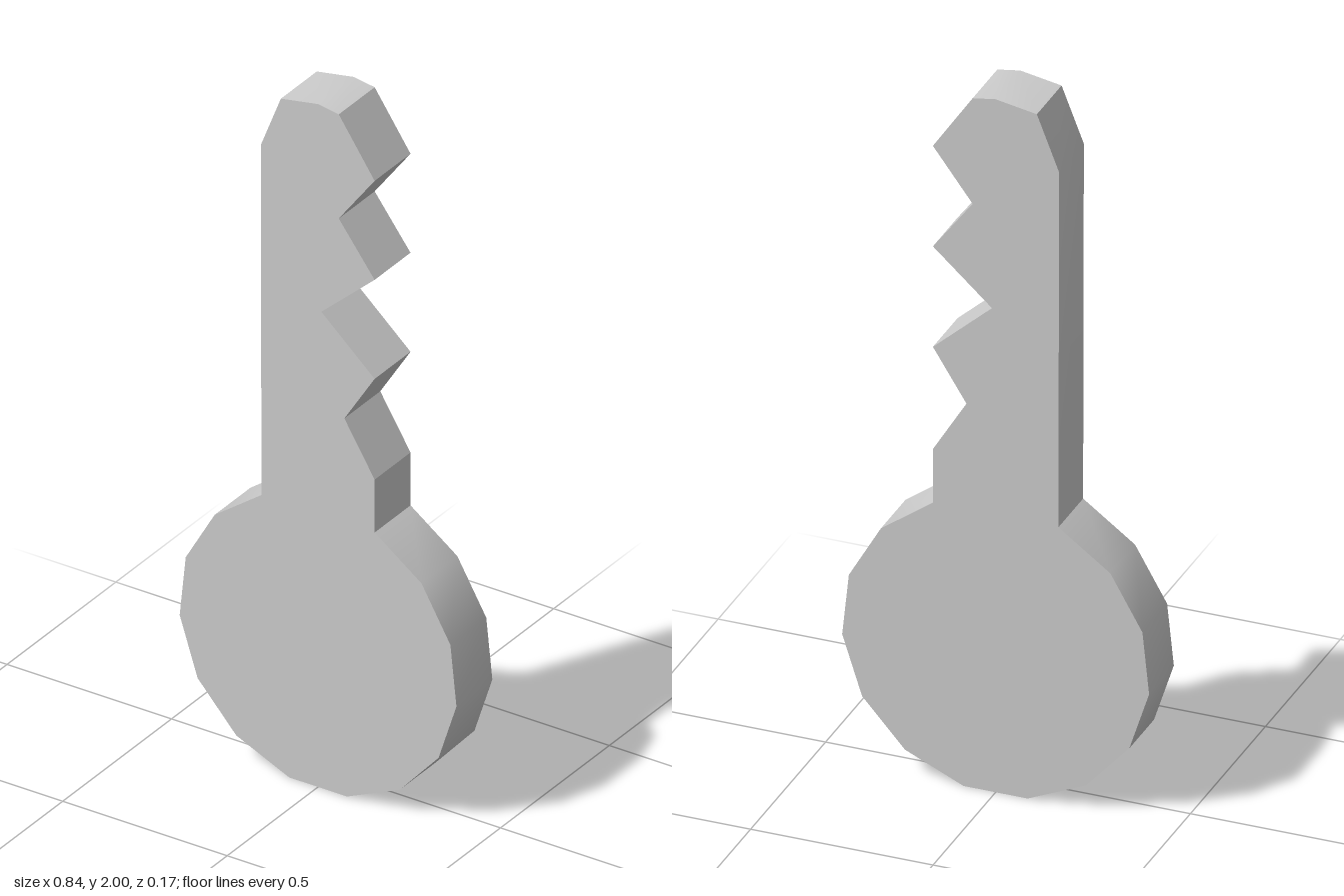
import * as THREE from 'three';
import { toCreasedNormals } from 'three/addons/utils/BufferGeometryUtils.js';

const THICKNESS = 0.165;
const BOW_RADIUS = 0.423;
const BOW_SIDES = 15;

// Round grip: a 15-sided polygon resting on a flat edge, open at the top for the blade
function bowPoints() {
  const step = (Math.PI * 2) / BOW_SIDES;
  const centreY = BOW_RADIUS * Math.cos(step / 2);
  const points = [];
  for (let i = 1; i < BOW_SIDES; i++) {
    const a = Math.PI / 2 + i * step; // left shoulder round the bottom to right shoulder
    points.push(new THREE.Vector2(BOW_RADIUS * Math.cos(a), centreY + BOW_RADIUS * Math.sin(a)));
  }
  return points;
}

// Toothed edge from the right shoulder up, then the rounded tip and straight back
const bladePoints = [
  [0.172, 0.955], [0.08, 1.105], [0.172, 1.25], [0.01, 1.395], [0.172, 1.54],
  [0.063, 1.685], [0.172, 1.83], [0.063, 1.99], [0, 2], [-0.113, 1.98], [-0.174, 1.825],
].map(([x, y]) => new THREE.Vector2(x, y));

export function createModel() {
  const group = new THREE.Group();
  group.name = 'key';

  // Bow and blade are one solid plate; shallow corners of the rim are shaded smooth
  const outline = new THREE.Shape([...bowPoints(), ...bladePoints]);
  const plate = new THREE.ExtrudeGeometry(outline, { depth: THICKNESS, bevelEnabled: false });
  plate.translate(0, 0, -THICKNESS / 2);

  const mesh = new THREE.Mesh(
    toCreasedNormals(plate, THREE.MathUtils.degToRad(30)),
    new THREE.MeshStandardMaterial({ color: 0xcccccc })
  );
  mesh.name = 'bowAndBlade';
  group.add(mesh);
  return group;
}
